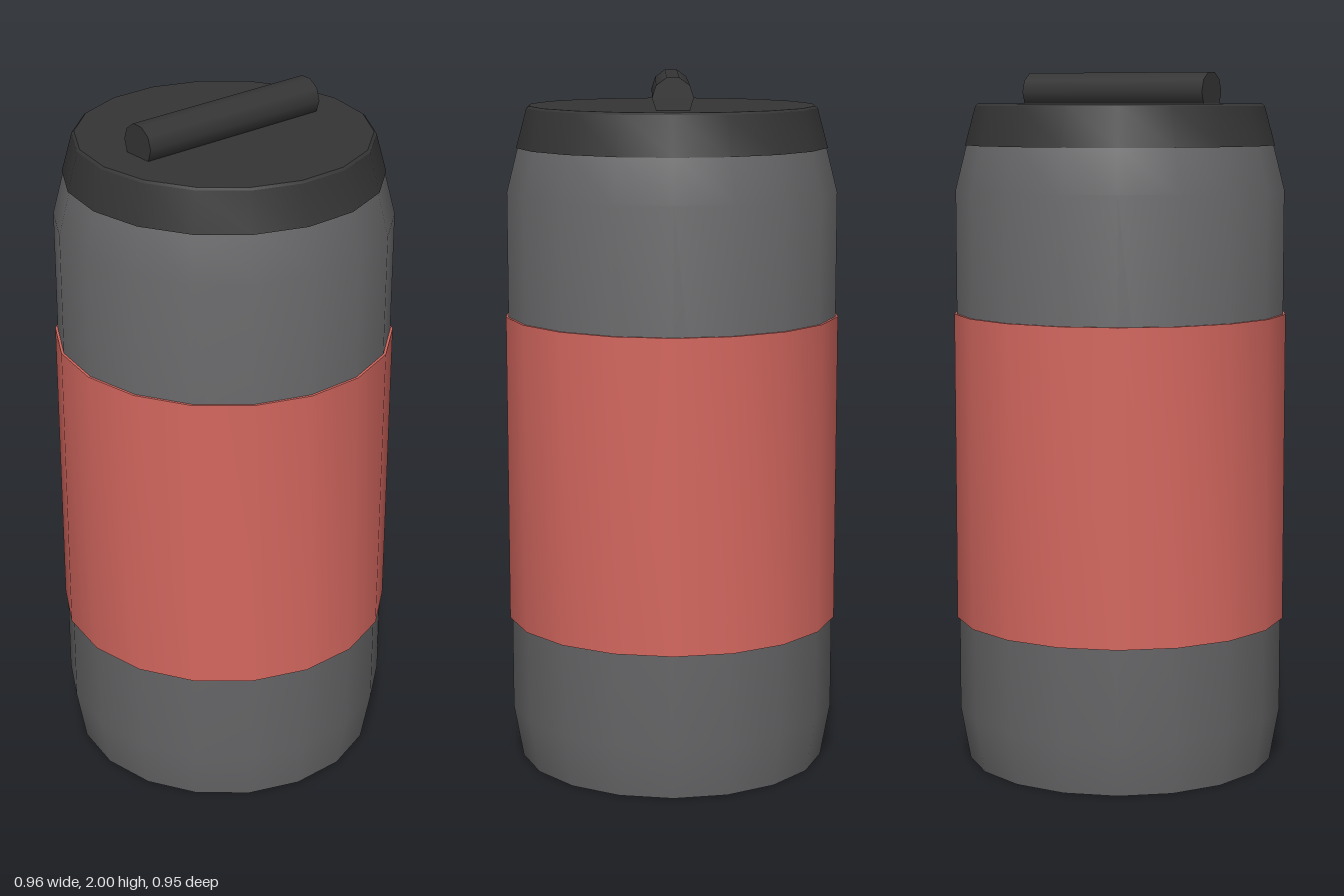
import * as THREE from 'three';
import { toCreasedNormals } from 'three/addons/utils/BufferGeometryUtils.js';

const SIDES = 18;

function mat(name, color) {
  const m = new THREE.MeshStandardMaterial({ color });
  m.name = name;
  return m;
}

// Turned part from [radius, height] pairs listed bottom to top, with a corner on the x axis
function turned(name, profile, material) {
  const points = profile.map(([r, y]) => new THREE.Vector2(r, y));
  const geometry = new THREE.LatheGeometry(points, SIDES, Math.PI / 2);
  const mesh = new THREE.Mesh(toCreasedNormals(geometry, 0.55), material);
  mesh.name = name;
  return mesh;
}

export function createModel() {
  const grey = mat('body grey', 0x68686a);
  const red = mat('band red', 0xd4675f);
  const dark = mat('lid charcoal', 0x353535);

  const model = new THREE.Group();
  model.name = 'travelTumbler';

  // Body with tapered foot and shoulder
  model.add(turned('body', [
    [0, 0], [0.447, 0], [0.475, 0.155], [0.475, 1.67], [0.442, 1.8], [0, 1.8],
  ], grey));

  // Grip band, slightly proud of the body
  model.add(turned('gripBand', [
    [0.47, 0.425], [0.482, 0.425], [0.482, 1.315], [0.47, 1.315],
  ], red));

  // Lid with a narrow bevel around the top
  model.add(turned('lid', [
    [0, 1.795], [0.447, 1.795], [0.417, 1.906], [0.41, 1.912], [0, 1.912],
  ], dark));

  // Handle bar lying across the lid
  const handle = new THREE.Mesh(new THREE.CylinderGeometry(0.057, 0.057, 0.595, 10), dark);
  handle.name = 'lidHandle';
  handle.rotation.z = Math.PI / 2;
  handle.position.y = 1.946;
  model.add(handle);

  return model;
}
